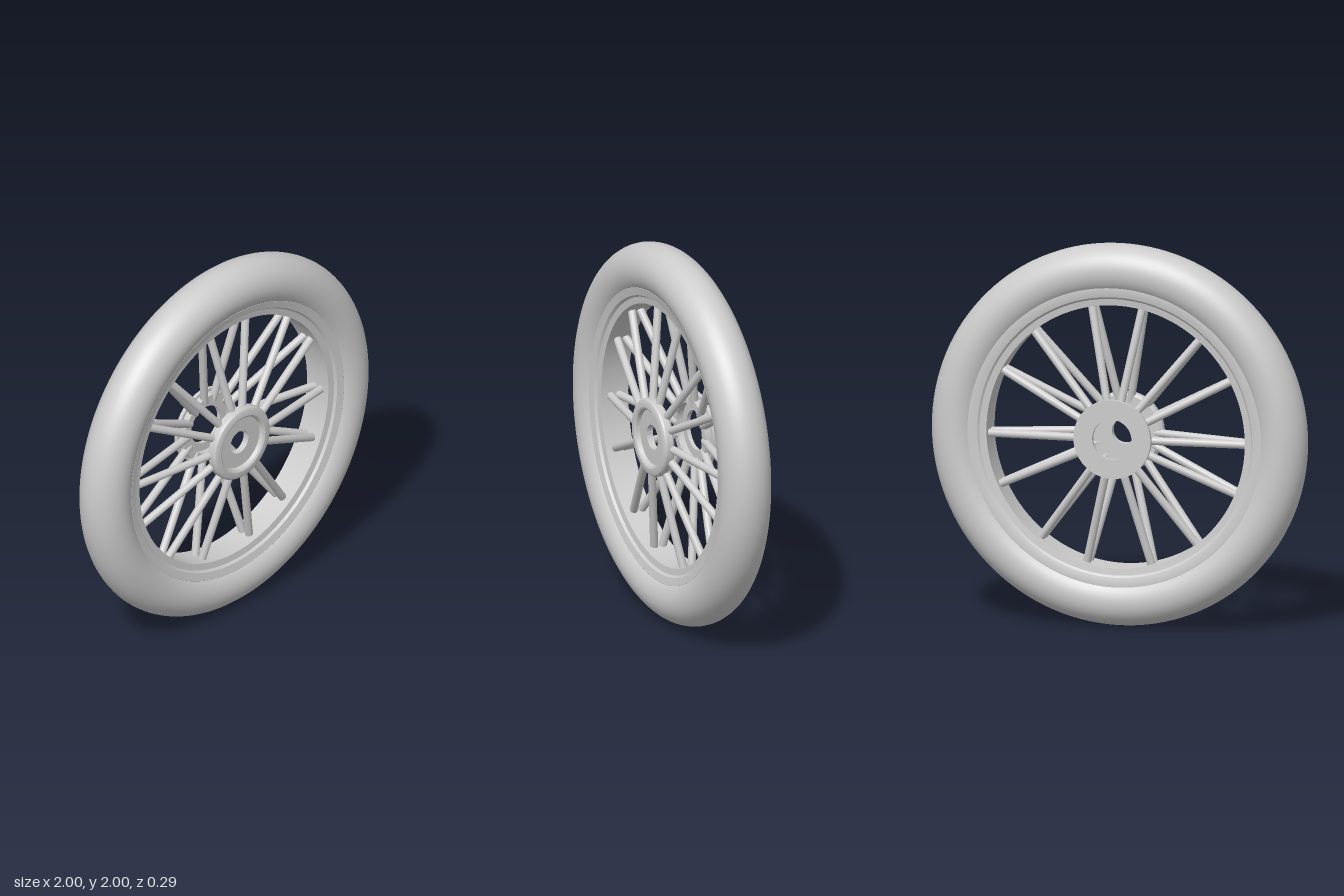
import * as THREE from 'three';
import { toCreasedNormals } from 'three/addons/utils/BufferGeometryUtils.js';

const material = new THREE.MeshStandardMaterial({ color: 0xcccccc });

// Ring spun around the z axis from a closed [radius, z] profile (anticlockwise)
function ring(name, profile, segments = 96) {
  const points = [...profile, profile[0]].map(([r, z]) => new THREE.Vector2(r, z));
  const geometry = new THREE.LatheGeometry(points, segments).rotateX(Math.PI / 2);
  const mesh = new THREE.Mesh(toCreasedNormals(geometry, 0.5), material);
  mesh.name = name;
  return mesh;
}

// Round bar between two points
function bar(name, a, b, radius) {
  const dir = b.clone().sub(a);
  const mesh = new THREE.Mesh(new THREE.CylinderGeometry(radius, radius, dir.length(), 16), material);
  mesh.position.copy(a).add(b).multiplyScalar(0.5);
  mesh.quaternion.setFromUnitVectors(new THREE.Vector3(0, 1, 0), dir.normalize());
  mesh.name = name;
  return mesh;
}

export function createModel() {
  const model = new THREE.Group();
  model.name = 'spokedWheel';
  const wheel = new THREE.Group();
  wheel.name = 'wheel';
  wheel.position.y = 1;
  model.add(wheel);

  // Tire
  const tire = new THREE.Mesh(new THREE.TorusGeometry(0.866, 0.134, 40, 128), material);
  tire.name = 'tire';
  tire.position.z = 0.008;
  wheel.add(tire);

  // Rim with a stepped lip on both sides
  const rim = ring('rim', [
    [0.69, -0.075], [0.725, -0.08], [0.735, -0.09], [0.775, -0.1], [0.8, -0.095],
    [0.8, 0.095], [0.775, 0.108], [0.735, 0.098], [0.725, 0.085], [0.69, 0.08],
  ], 128);
  wheel.add(rim);

  // Front hub: dished cap with a raised lip and an axle hole
  wheel.add(ring('frontHub', [
    [0.065, 0.085], [0.19, 0.085], [0.205, 0.1], [0.205, 0.132], [0.198, 0.142],
    [0.185, 0.148], [0.16, 0.148], [0.15, 0.142], [0.145, 0.12], [0.065, 0.12],
  ]));

  // Back hub: flat flange and the collar that holds the spokes
  wheel.add(ring('backFlange', [[0.105, -0.146], [0.206, -0.146], [0.206, -0.125], [0.105, -0.125]]));
  wheel.add(ring('backCollar', [[0.15, -0.126], [0.19, -0.126], [0.19, -0.09], [0.15, -0.09]]));

  // Spokes: seven pairs of angles, each with a front and a back bar meeting at the rim
  const spokes = new THREE.Group();
  spokes.name = 'spokes';
  for (let i = 0; i < 7; i++) {
    for (const offset of [-11.3, 11.3]) {
      const angle = THREE.MathUtils.degToRad(38.1 + offset + i * 360 / 7);
      for (const side of [1, -1]) {
        const at = (r, z) => new THREE.Vector3(r * Math.cos(angle), r * Math.sin(angle), z);
        spokes.add(bar(side > 0 ? 'frontSpoke' : 'backSpoke',
          at(0.15, 0.106 * side), at(0.705, 0.022 * side), 0.021));
      }
    }
  }
  wheel.add(spokes);
  return model;
}
